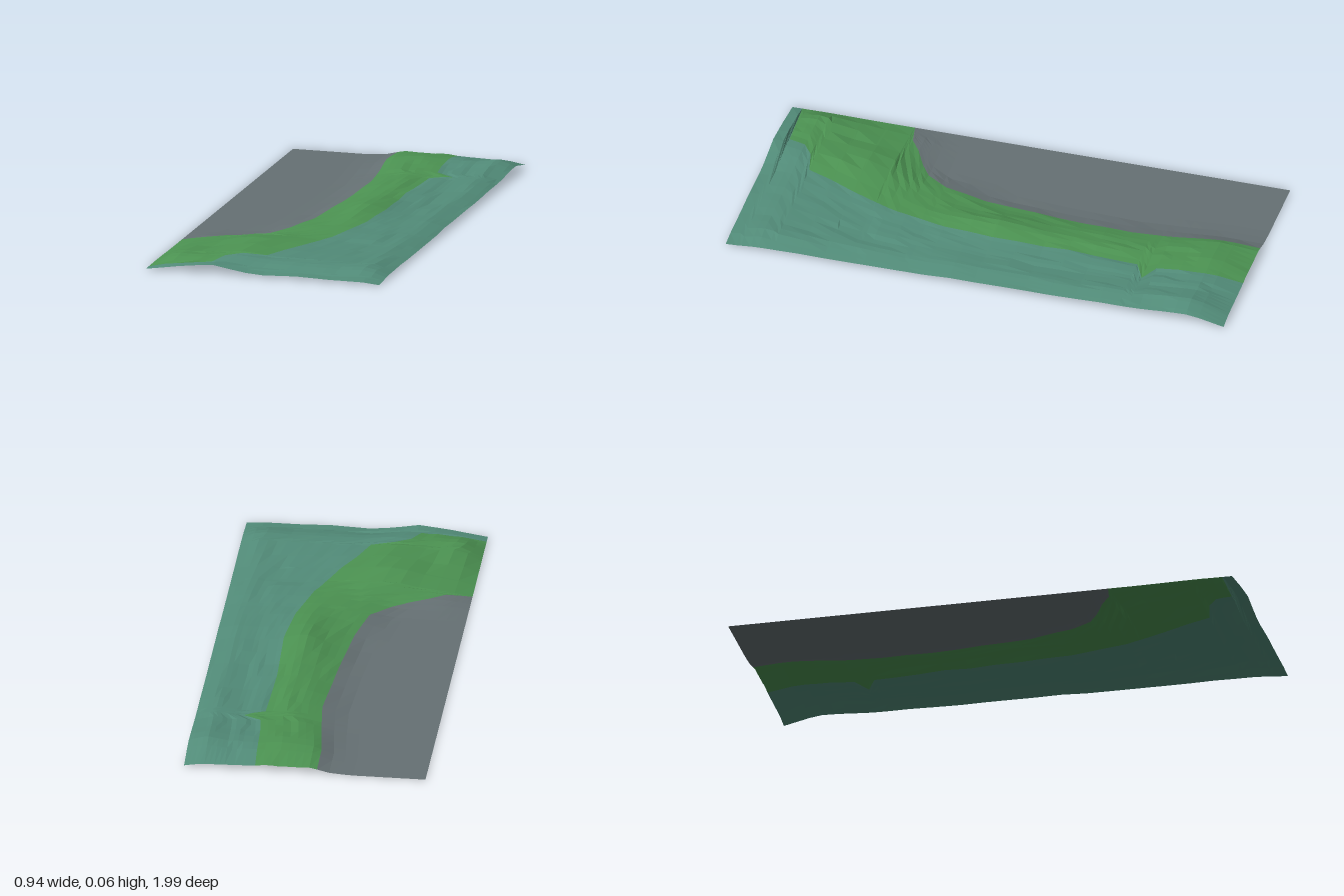
import * as THREE from 'three';

// Land heights in thousandths: one cross-section per z, sampled at xs
const xs = [-0.47, -0.39, -0.28, -0.18, -0.1, -0.03, 0.05, 0.12, 0.2, 0.3, 0.39, 0.465];
const sections = [
  [-1.0, [0, 0, 0, 0, 5, 22, 20, 22, 20, 16, 14, 2]],
  [-0.85, [0, 0, 0, 0, 6, 34, 42, 46, 40, 40, 55, 34]],
  [-0.62, [0, 0, 0, 0, 2, 20, 36, 40, 34, 32, 40, 22]],
  [-0.3, [0, 0, 0, 0, 1, 14, 36, 48, 36, 26, 34, 16]],
  [0.0, [0, 0, 0, 0, 2, 20, 44, 66, 44, 30, 36, 18]],
  [0.3, [0, 0, 0, 2, 20, 32, 40, 44, 40, 34, 30, 12]],
  [0.6, [0, 20, 32, 54, 58, 46, 38, 34, 30, 28, 28, 12]],
  [0.85, [2, 42, 38, 46, 48, 40, 36, 36, 34, 34, 38, 12]],
  [0.99, [1, 14, 27, 35, 18, 8, 10, 12, 10, 9, 10, 2]],
];

// Edge of the grey flat (shore) and of the green band (treeline), as z, x pairs
const shore = [[-1, -0.05], [-0.85, -0.05], [-0.7, -0.03], [-0.5, -0.01], [-0.2, -0.03], [0.1, -0.06],
  [0.27, -0.1], [0.36, -0.17], [0.4, -0.23], [0.44, -0.31], [0.48, -0.37], [0.5, -0.47], [1, -0.47]];
const treeline = [[-1, 0.19], [-0.75, 0.2], [-0.66, 0.21], [-0.62, 0.28], [-0.58, 0.2], [-0.3, 0.19], [0, 0.2],
  [0.2, 0.18], [0.4, 0.13], [0.6, 0.05], [0.7, 0.0], [0.8, -0.04], [0.82, -0.13], [0.86, -0.19],
  [0.93, -0.22], [0.95, -0.47], [1, -0.47]];

const locate = (list, v) => {
  let i = 0;
  while (i < list.length - 2 && list[i + 1] < v) i++;
  return [i, THREE.MathUtils.clamp((v - list[i]) / (list[i + 1] - list[i]), 0, 1)];
};
const edgeAt = (line, z) => {
  const [i, t] = locate(line.map(p => p[0]), z);
  return THREE.MathUtils.lerp(line[i][1], line[i + 1][1], t);
};

const zList = sections.map(s => s[0]);
const hash = (a, b) => {
  const s = Math.sin(a * 127.1 + b * 311.7) * 43758.5453;
  return s - Math.floor(s) - 0.5;
};

function heightAt(x, z) {
  const [i, u] = locate(xs, x);
  const [j, v] = locate(zList, z);
  const s = v * v * (3 - 2 * v);
  const row = k => THREE.MathUtils.lerp(sections[k][1][i], sections[k][1][i + 1], u);
  const h = THREE.MathUtils.lerp(row(j), row(j + 1), s) / 1000;
  // Small roughness, fading out on the flat
  const rough = hash(Math.round(x / 0.047), Math.round(z / 0.1));
  return Math.max(0, h + rough * 0.006 * Math.min(1, h / 0.03));
}

// Shared rows, denser where the edges turn
const rows = [...new Set([
  ...Array.from({ length: 21 }, (_, i) => +(-1 + i * 0.0995).toFixed(3)),
  ...shore.map(p => p[0]), ...treeline.map(p => p[0]),
].map(z => Math.min(z, 0.99)))].sort((a, b) => a - b);

// A faceted strip of land between two edge functions
function strip(name, material, leftEdge, rightEdge, columns) {
  const pos = [];
  const point = (z, t) => {
    const x = THREE.MathUtils.lerp(leftEdge(z), rightEdge(z), t);
    return [x, heightAt(x, z), z];
  };
  const tri = (a, b, c) => {
    const area = (b[0] - a[0]) * (c[2] - a[2]) - (b[2] - a[2]) * (c[0] - a[0]);
    if (Math.abs(area) > 1e-7) pos.push(...a, ...b, ...c);
  };
  for (let r = 0; r < rows.length - 1; r++) {
    for (let c = 0; c < columns; c++) {
      const t0 = c / columns, t1 = (c + 1) / columns;
      const a = point(rows[r], t0), b = point(rows[r], t1);
      const d = point(rows[r + 1], t0), e = point(rows[r + 1], t1);
      tri(a, d, b);
      tri(b, d, e);
    }
  }
  const geometry = new THREE.BufferGeometry();
  geometry.setAttribute('position', new THREE.Float32BufferAttribute(pos, 3));
  geometry.computeVertexNormals();
  const mesh = new THREE.Mesh(geometry, material);
  mesh.name = name;
  return mesh;
}

function makeMaterial(name, color) {
  const m = new THREE.MeshStandardMaterial({ color, flatShading: true, side: THREE.DoubleSide });
  m.name = name;
  return m;
}

export function createModel() {
  const group = new THREE.Group();
  group.name = 'terrain';
  const west = () => -0.47, east = () => 0.465;
  const shoreX = z => edgeAt(shore, z);
  const treeX = z => edgeAt(treeline, z);
  group.add(
    strip('greyFlat', makeMaterial('slate grey', 0x667174), west, shoreX, 9),
    strip('greenBand', makeMaterial('meadow green', 0x4c9352), shoreX, treeX, 8),
    strip('tealHills', makeMaterial('hill teal', 0x528c79), treeX, east, 14),
  );
  return group;
}
